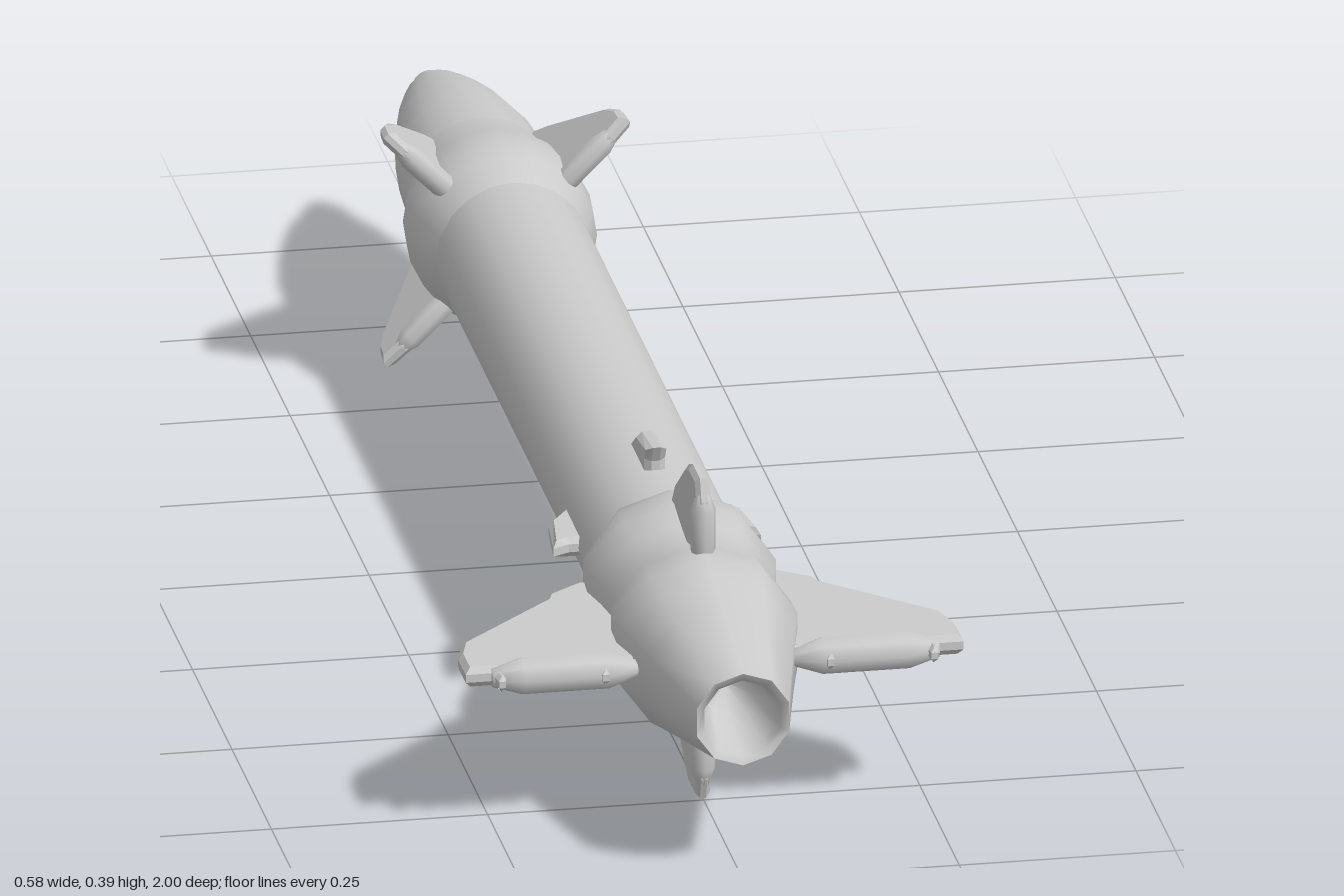
import * as THREE from 'three';

const AXIS_Y = 0.197;
const mat = new THREE.MeshStandardMaterial({ color: 0xcccccc, side: THREE.DoubleSide });

// Surface of revolution along z, from [z, radius] pairs
function turned(name, profile, sides) {
  const geo = new THREE.LatheGeometry(profile.map(([z, r]) => new THREE.Vector2(r, z)), sides);
  geo.rotateX(Math.PI / 2);
  const mesh = new THREE.Mesh(geo, mat);
  mesh.name = name;
  return mesh;
}

// Thin plate drawn as [radius, z] corners, with chamfered edges
function plate(name, corners, thickness) {
  const bevel = thickness * 0.3;
  const shape = new THREE.Shape(corners.map(([r, z]) => new THREE.Vector2(r, z)));
  const geo = new THREE.ExtrudeGeometry(shape, {
    depth: thickness - 2 * bevel, bevelEnabled: true, bevelSegments: 1,
    bevelThickness: bevel, bevelSize: 0.006, bevelOffset: -0.006,
  });
  geo.translate(0, 0, bevel - thickness / 2);
  geo.rotateX(Math.PI / 2);
  const mesh = new THREE.Mesh(geo, mat);
  mesh.name = name;
  return mesh;
}

// Tapered hinge fairing running outward along a fin's trailing edge
function spindle(from, to, radius, taper, z) {
  const pts = [[0, from], [radius * 0.45, from], [radius, from + taper], [radius, to - taper], [radius * 0.5, to], [0, to]];
  const geo = new THREE.LatheGeometry(pts.map(([r, y]) => new THREE.Vector2(r, y)), 8);
  geo.rotateZ(-Math.PI / 2);
  const mesh = new THREE.Mesh(geo, mat);
  mesh.name = 'hingeFairing';
  mesh.position.z = z;
  return mesh;
}

// Copies of a fin around the axis at the given angles in degrees
function finSet(parent, name, angles, build) {
  for (const a of angles) {
    const fin = new THREE.Group();
    fin.name = name;
    fin.add(...build());
    fin.rotation.z = THREE.MathUtils.degToRad(a);
    parent.add(fin);
  }
}

export function createModel() {
  const model = new THREE.Group();
  model.name = 'missile';
  const hull = new THREE.Group();
  hull.name = 'hull';
  hull.position.y = AXIS_Y;
  model.add(hull);

  // Nose, canard collar, tube and tail
  hull.add(
    turned('noseTip', [[-1, 0], [-1, 0.012], [-0.985, 0.02], [-0.935, 0.037]], 20),
    turned('noseCone', [[-0.935, 0.04], [-0.88, 0.057], [-0.82, 0.071], [-0.74, 0.084], [-0.66, 0.089]], 20),
    turned('canardCollar', [[-0.66, 0.089], [-0.62, 0.094], [-0.58, 0.105], [-0.54, 0.109], [-0.5, 0.105], [-0.455, 0.089]], 20),
    turned('bodyTube', [[-0.455, 0.089], [0.52, 0.089]], 20),
    turned('tailBulge', [[0.515, 0.089], [0.535, 0.1], [0.57, 0.112], [0.61, 0.115], [0.65, 0.106], [0.69, 0.1],
      [0.73, 0.109], [0.77, 0.11], [0.81, 0.1], [0.86, 0.088]], 10),
    turned('nozzle', [[0.86, 0.088], [1, 0.056]], 10),
    turned('nozzleInside', [[1, 0.056], [0.995, 0.046], [0.9, 0.03], [0.88, 0]], 10),
  );

  // Wide horizontal wings
  finSet(hull, 'wing', [0, 180], () => [
    plate('wingPlate', [[0.08, 0.575], [0.115, 0.575], [0.155, 0.605], [0.16, 0.62], [0.278, 0.735], [0.288, 0.77],
      [0.288, 0.82], [0.08, 0.82]], 0.024),
    spindle(0.09, 0.258, 0.0225, 0.035, 0.822),
    ...[0.13, 0.25].map((r) => {
      const lug = plate('hingeLug', [[r - 0.012, 0.8], [r + 0.012, 0.8], [r + 0.004, 0.846], [r - 0.004, 0.846]], 0.02);
      return lug;
    }),
  ]);

  // Vertical tail fins
  finSet(hull, 'tailFin', [90, 270], () => [
    plate('tailFinPlate', [[0.08, 0.59], [0.115, 0.59], [0.14, 0.61], [0.186, 0.675], [0.196, 0.7],
      [0.196, 0.745], [0.17, 0.755], [0.08, 0.755]], 0.017),
    spindle(0.09, 0.178, 0.0145, 0.02, 0.745),
  ]);

  // Small stub fins ahead of the tail
  finSet(hull, 'stubFin', [0, 90, 180, 270], () => [
    plate('stubFinPlate', [[0.07, 0.345], [0.09, 0.35], [0.113, 0.385], [0.12, 0.455], [0.1, 0.445], [0.07, 0.445]], 0.024),
  ]);

  // Diagonal canards near the nose
  finSet(hull, 'canard', [45, 135, 225, 315], () => [
    plate('canardPlate', [[0.07, -0.655], [0.095, -0.655], [0.115, -0.635], [0.185, -0.55], [0.196, -0.525],
      [0.198, -0.495], [0.17, -0.49], [0.07, -0.49]], 0.018),
    spindle(0.08, 0.178, 0.0145, 0.022, -0.5),
  ]);

  return model;
}
